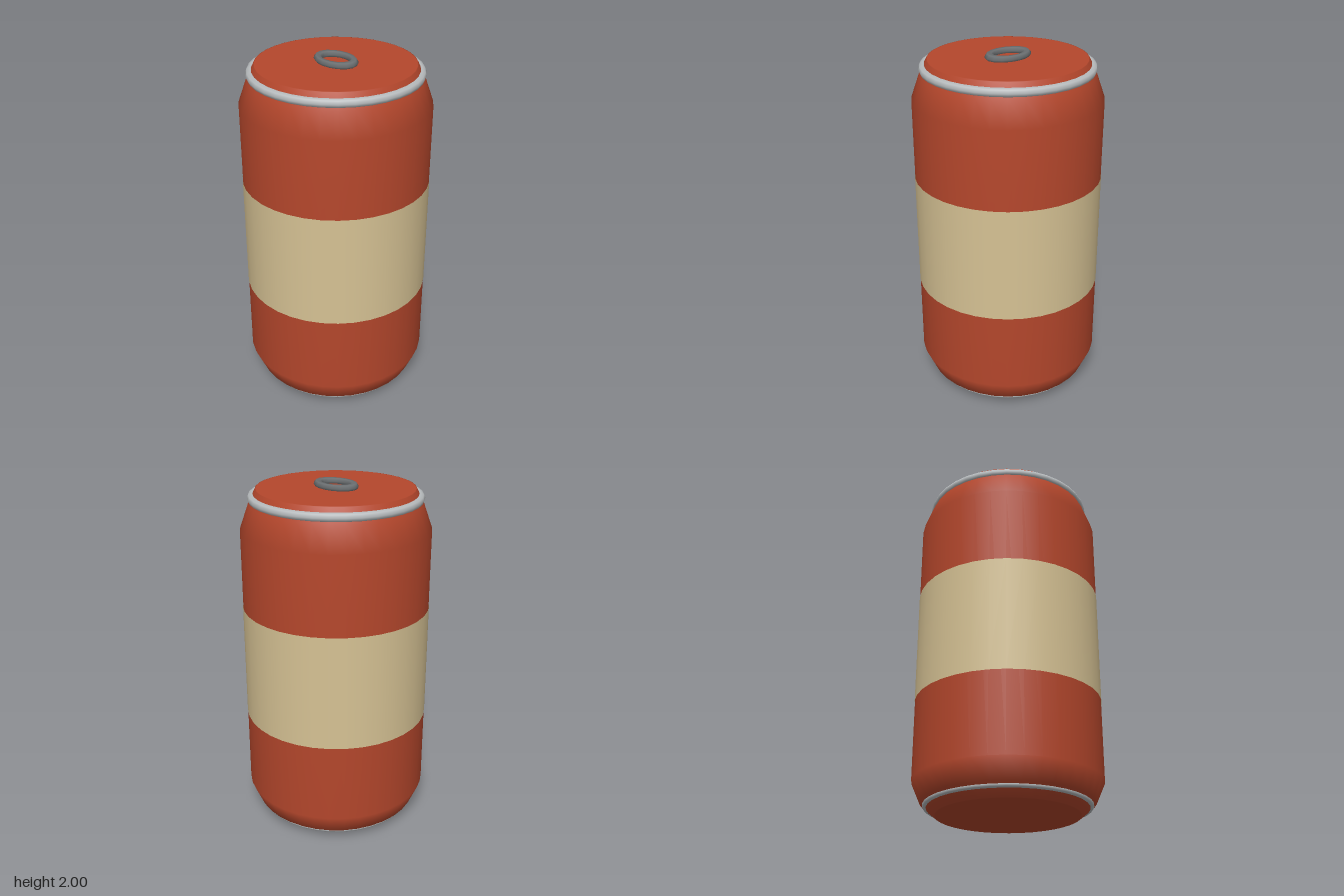
import * as THREE from 'three';

const SEGMENTS = 36;
const mat = (color, extra = {}) => new THREE.MeshStandardMaterial({ color, ...extra });

function addMesh(group, name, geometry, material, y = 0) {
  const mesh = new THREE.Mesh(geometry, material);
  mesh.name = name;
  mesh.position.y = y;
  group.add(mesh);
  return mesh;
}

// Horizontal ring lying in the xz plane
function ring(radius, tube, sides, segments) {
  return new THREE.TorusGeometry(radius, tube, sides, segments).rotateX(-Math.PI / 2);
}

export function createModel() {
  const can = new THREE.Group();
  can.name = 'drinkCan';
  const metal = mat(0xb8bcbe);

  // Can body with tapered shoulder and foot; close pairs of points keep the rims crisp
  const profile = [
    [0, 0], [0.395, 0], [0.4, 0.001], [0.48, 0.066], [0.53, 0.18],
    [0.53, 1.75], [0.48, 1.89], [0.44, 1.969], [0.435, 1.97], [0, 1.97],
  ].map(([r, y]) => new THREE.Vector2(r, y));
  addMesh(can, 'body', new THREE.LatheGeometry(profile, SEGMENTS), mat(0xb5472c));

  // Wrap-around label band
  addMesh(can, 'label',
    new THREE.CylinderGeometry(0.532, 0.532, 0.66, SEGMENTS, 1, true),
    mat(0xd6c294, { side: THREE.DoubleSide }), 0.97);

  // Metal rims at the lid and the foot
  addMesh(can, 'topRim', ring(0.46, 0.025, 8, SEGMENTS), metal, 1.92);
  addMesh(can, 'bottomRim', ring(0.45, 0.0165, 8, SEGMENTS), metal, 0.053);

  // Oval pull tab
  const tab = addMesh(can, 'pullTab', ring(0.08, 0.02, 6, 16), mat(0x6c7072), 1.9827);
  tab.scale.z = 1.43;

  return can;
}
